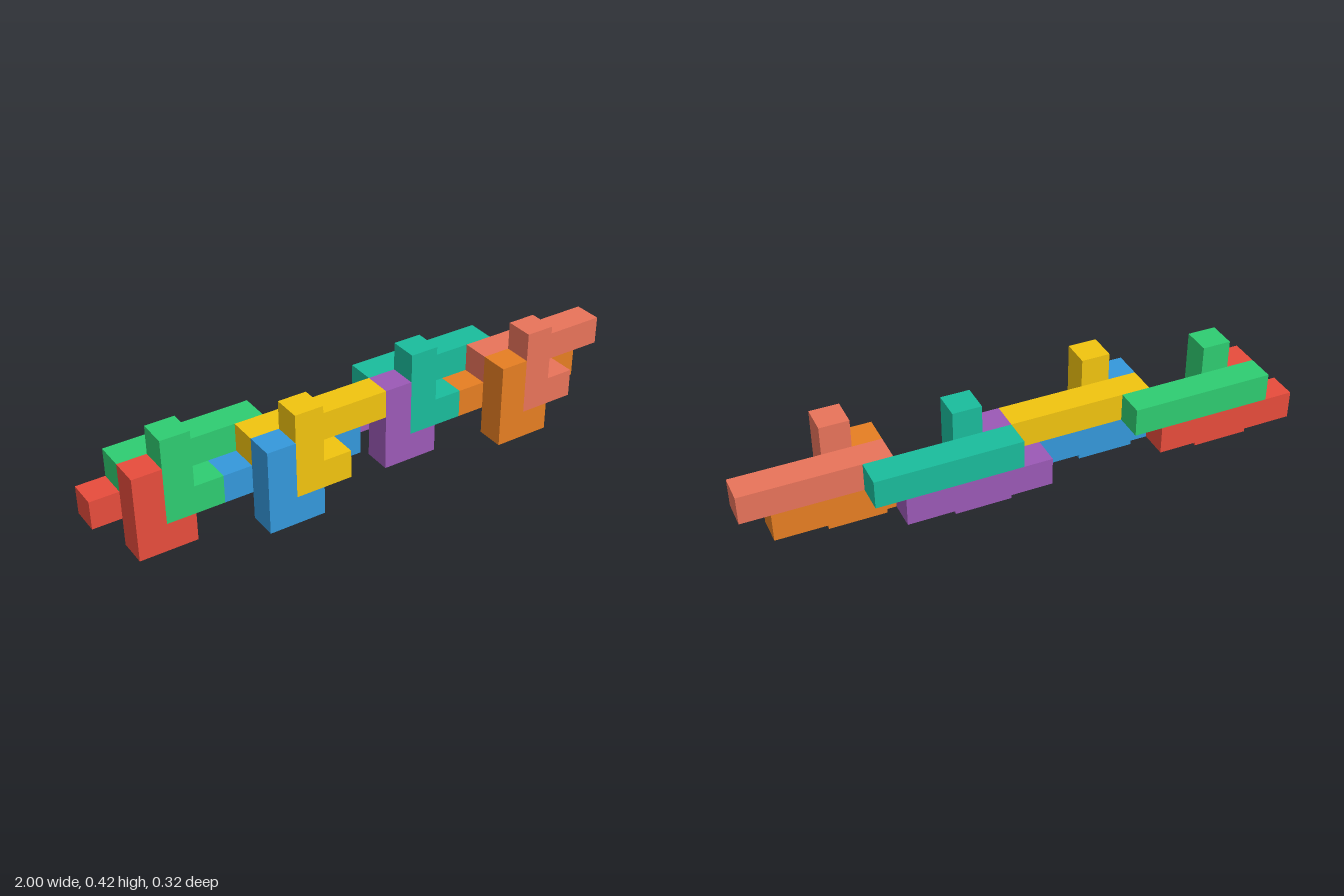
import * as THREE from 'three';

const U = 2 / 19; // one cube cell

// Each piece: name, colour, column of the upright, base level, depth layer of the upright
const PIECES = [
  ['red', 0xe74c3c, 1, 0, 0],
  ['green', 0x2ecc71, 2, 1, 0],
  ['blue', 0x3498db, 5, 0, 1],
  ['yellow', 0xf1c40f, 6, 1, 1],
  ['purple', 0x9b59b6, 10, 0, 0],
  ['teal', 0x1abc9c, 11, 1, 0],
  ['orange', 0xe67e22, 14, 0, 1],
  ['salmon', 0xe8735a, 15, 1, 1],
];

// L-shaped hook: three cells tall with a one-cell toe
function hookGeometry() {
  const shape = new THREE.Shape(
    [[0, 0], [2, 0], [2, 1], [1, 1], [1, 3], [0, 3]].map(([x, y]) => new THREE.Vector2(x * U, y * U))
  );
  return new THREE.ExtrudeGeometry(shape, { depth: U, bevelEnabled: false });
}

// Five-cell bar behind the hook, one level above its base
function barGeometry() {
  return new THREE.BoxGeometry(5 * U, U, U).translate(1.5 * U, 1.5 * U, -0.5 * U);
}

export function createModel() {
  const model = new THREE.Group();
  model.name = 'interlockingPieces';
  const hookGeo = hookGeometry();
  const barGeo = barGeometry();

  for (const [name, color, column, level, layer] of PIECES) {
    const material = new THREE.MeshStandardMaterial({ color, flatShading: true });
    const piece = new THREE.Group();
    piece.name = `${name}Piece`;
    const hook = new THREE.Mesh(hookGeo, material);
    hook.name = `${name}Hook`;
    const bar = new THREE.Mesh(barGeo, material);
    bar.name = `${name}Bar`;
    piece.add(hook, bar);
    piece.position.set(-1 + column * U, level * U, (layer - 0.5) * U);
    model.add(piece);
  }
  return model;
}
